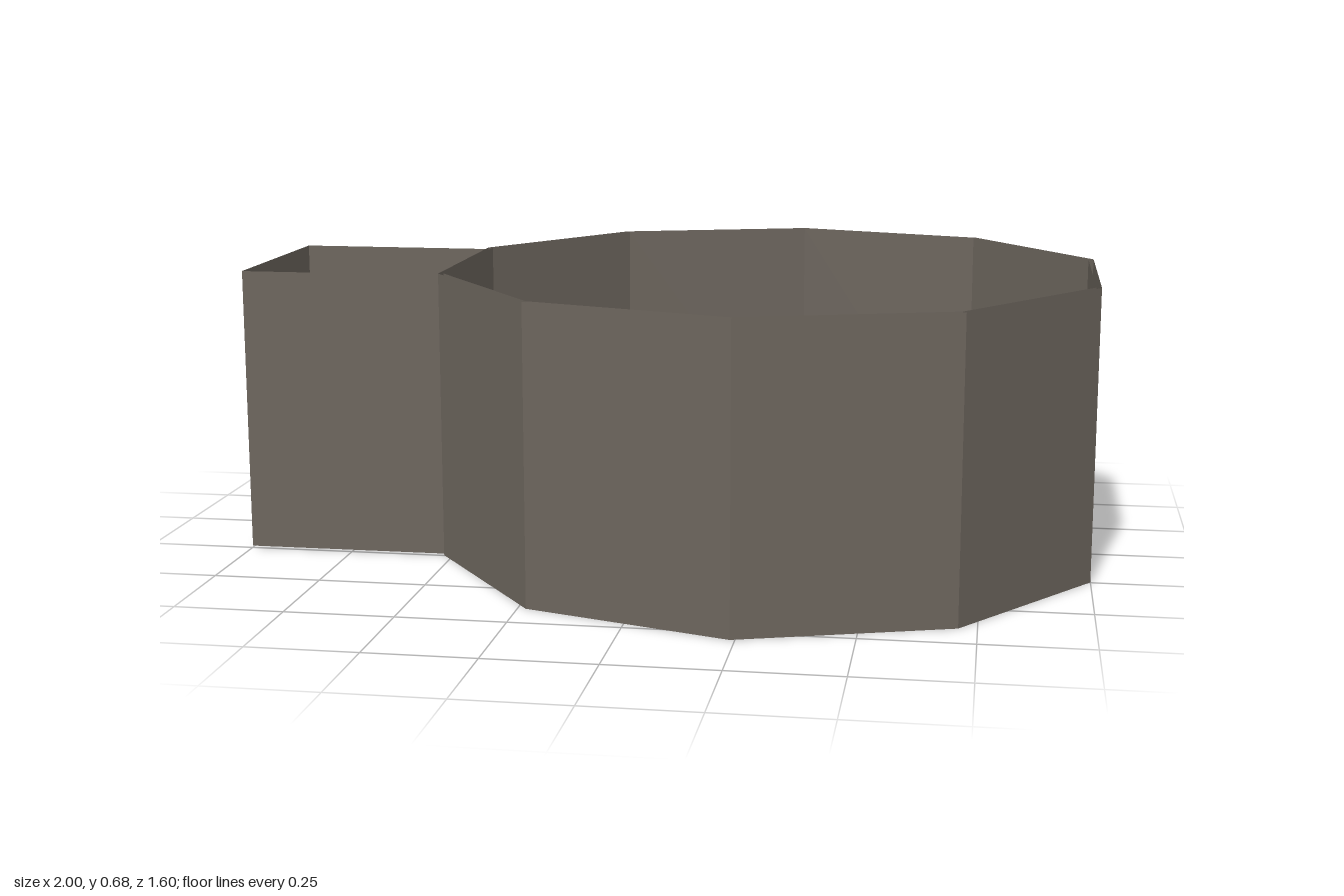
import * as THREE from 'three';

const CX = 0.239, H = 0.68, R_OUT = 0.8, R_IN = 0.787;
const STEP = Math.PI / 5;
// Drain notch in the wall shared with the side chamber
const NOTCH = { z0: -0.07, z1: 0.03, top: 0.107 };

export function createModel() {
  const group = new THREE.Group();
  const stone = new THREE.MeshStandardMaterial({ color: 0x6c655d, side: THREE.DoubleSide, flatShading: true });
  stone.name = 'stone';

  const add = (name, geometry, parent = group) => {
    const mesh = new THREE.Mesh(geometry, stone);
    mesh.name = name;
    parent.add(mesh);
    return mesh;
  };

  // One ring shell: nine plain panels plus a notched panel facing -x
  const addShell = (name, r) => {
    const shell = new THREE.Group();
    shell.name = name;
    group.add(shell);
    const ring = new THREE.CylinderGeometry(r, r, H, 9, 1, true, 8 * STEP, 9 * STEP);
    add('ringPanels', ring, shell).position.set(CX, H / 2, 0);

    const half = r * Math.sin(STEP / 2);
    const { z0, z1, top } = NOTCH;
    const outline = [[-half, 0], [z0, 0], [z0, top], [z1, top], [z1, 0], [half, 0], [half, H], [-half, H]];
    const shape = new THREE.Shape(outline.map(([z, y]) => new THREE.Vector2(z, y)));
    const panel = add('notchedPanel', new THREE.ShapeGeometry(shape).rotateY(-Math.PI / 2), shell);
    panel.position.x = CX - r * Math.cos(STEP / 2);
  };
  addShell('outerWall', R_OUT);
  addShell('innerWall', R_IN);

  // Notch lining between the two shells
  const xOut = CX - R_OUT * Math.cos(STEP / 2);
  const xIn = CX - R_IN * Math.cos(STEP / 2);
  const xMid = (xOut + xIn) / 2, gap = xIn - xOut;
  const lintel = new THREE.PlaneGeometry(gap, NOTCH.z1 - NOTCH.z0).rotateX(-Math.PI / 2);
  add('notchLintel', lintel).position.set(xMid, NOTCH.top, (NOTCH.z0 + NOTCH.z1) / 2);
  for (const z of [NOTCH.z0, NOTCH.z1]) {
    add('notchJamb', new THREE.PlaneGeometry(gap, NOTCH.top)).position.set(xMid, NOTCH.top / 2, z);
  }

  // Side chamber: three thin walls, open above and below
  const y0 = 0.004, y1 = 0.676, h = y1 - y0, yc = (y0 + y1) / 2;
  const halfZ = R_OUT * Math.sin(STEP / 2);
  const length = xOut + 1;
  for (const s of [1, -1]) {
    const wall = add(s > 0 ? 'chamberFrontWall' : 'chamberBackWall', new THREE.PlaneGeometry(length, h));
    wall.position.set(-1 + length / 2, yc, s * halfZ);
    if (s < 0) wall.rotation.y = Math.PI;
  }
  const end = add('chamberEndWall', new THREE.PlaneGeometry(halfZ * 2, h));
  end.position.set(-1, yc, 0);
  end.rotation.y = -Math.PI / 2;

  return group;
}
